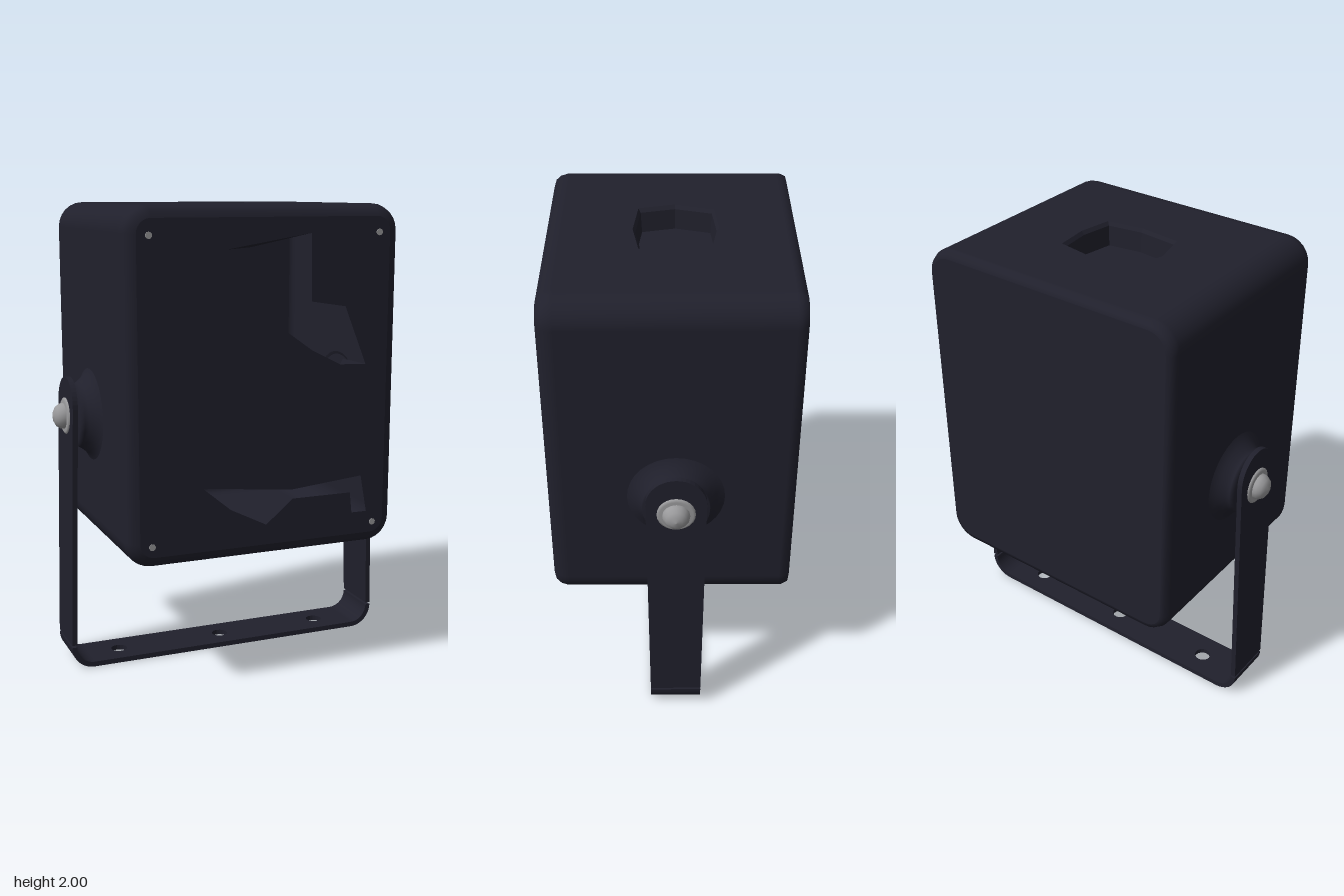
import * as THREE from 'three';

const paint = new THREE.MeshStandardMaterial({ color: 0x20202c, side: THREE.DoubleSide });
paint.name = 'dark paint';
const steel = new THREE.MeshStandardMaterial({ color: 0x9a9a9c });
steel.name = 'bare steel';

const W = 0.6, BOTTOM = 0.555, TOP = 2.0, RADIUS = 0.11, N = 6;
const MID = (BOTTOM + TOP) / 2, H = (TOP - BOTTOM) / 2;

const v2 = (list) => list.map(([x, y]) => new THREE.Vector2(x, y));

function add(parent, name, geometry, material = paint) {
  const mesh = new THREE.Mesh(geometry, material);
  mesh.name = name;
  parent.add(mesh);
  return mesh;
}

// Rounded rectangle outline, counterclockwise, shrunk by inset
function outline(inset) {
  const r = RADIUS - inset, points = [];
  for (let c = 0; c < 4; c++) {
    const sx = c === 0 || c === 3 ? 1 : -1, sy = c < 2 ? 1 : -1;
    for (let i = 0; i <= N; i++) {
      const a = (c + i / N) * Math.PI / 2;
      points.push(new THREE.Vector2(
        sx * (W - RADIUS) + r * Math.cos(a),
        MID + sy * (H - RADIUS) + r * Math.sin(a)));
    }
  }
  return points;
}

// Skin closed rings of points; skip(ring, segment) leaves a gap
function loft(rings, skip = () => false) {
  const n = rings[0].length, index = [];
  for (let k = 0; k < rings.length - 1; k++) {
    for (let i = 0; i < n; i++) {
      if (skip(k, i)) continue;
      const a = k * n + i, b = k * n + (i + 1) % n;
      index.push(a, b, a + n, b, b + n, a + n);
    }
  }
  const g = new THREE.BufferGeometry().setFromPoints(rings.flat());
  g.setIndex(index);
  g.computeVertexNormals();
  return g;
}

function flat(geometry) {
  const g = geometry.toNonIndexed();
  g.computeVertexNormals();
  return g;
}

function buildCabinet(group) {
  // Hollow shell with softened front and back edges
  const stations = [
    [0.03, -0.505], [0.012, -0.5], [0, -0.475], [0, -0.46], [0, -0.25], [0, 0.22],
    [0, 0.43], [0, 0.445], [0.008, 0.472], [0.025, 0.492], [0.05, 0.5]];
  const rings = stations.map(([inset, z]) => outline(inset).map((p) => new THREE.Vector3(p.x, p.y, z)));
  add(group, 'cabinetShell', loft(rings, (k, i) => k === 4 && i === N));

  const back = new THREE.ShapeGeometry(new THREE.Shape(outline(0.03)));
  back.rotateY(Math.PI);
  add(group, 'backPanel', back.translate(0, 0, -0.505));

  // Torn front panel
  const front = new THREE.Shape(outline(0.05));
  const tears = [
    [[-0.18, 1.825], [0.19, 1.885], [0.195, 1.61], [0.35, 1.585], [0.45, 1.34],
      [0.33, 1.345], [0.2, 1.41], [0.03, 1.53], [-0.08, 1.65]],
    [[-0.28, 0.87], [0.12, 0.83], [0.44, 0.86], [0.47, 0.7], [0.4, 0.7],
      [0.39, 0.79], [0.12, 0.79], [0, 0.69], [-0.16, 0.77]],
    [[-0.53, 1.5], [-0.49, 1.4], [-0.495, 1.16], [-0.53, 1.17]]];
  for (const tear of tears) front.holes.push(new THREE.Path(v2(tear)));
  add(group, 'frontPanel', new THREE.ShapeGeometry(front).translate(0, 0, 0.5));

  // Bent shards along the main tear
  const shards = [
    [[-0.1, 1.68, 0.5], [0, 1.5, 0.47], [-0.02, 1.555, 0.5]],
    [[0.33, 1.345, 0.5], [0.45, 1.34, 0.5], [0.37, 1.36, 0.45]],
    [[-0.18, 1.825, 0.5], [0.19, 1.885, 0.5], [-0.05, 1.83, 0.44]]];
  for (const shard of shards) {
    const g = new THREE.BufferGeometry().setFromPoints(shard.map((p) => new THREE.Vector3(...p)));
    g.computeVertexNormals();
    add(group, 'bentShard', g);
  }

  // Corner screws
  for (const x of [-0.5, 0.5]) {
    for (const y of [0.65, 1.885]) {
      const screw = add(group, 'cornerScrew', new THREE.CylinderGeometry(0.014, 0.014, 0.008, 10), steel);
      screw.rotation.x = Math.PI / 2;
      screw.position.set(x, y, 0.5);
    }
  }
}

function buildTopRecess(group) {
  const rim = [[-0.21, -0.02], [-0.165, -0.18], [0, -0.195], [0.18, -0.165],
    [0.195, -0.02], [0.17, 0.125], [0.01, 0.15], [-0.175, 0.13]];
  const scaled = (s) => rim.map(([x, z]) => [x * s, (z + 0.02) * s - 0.02]);
  const ring = (s, y) => scaled(s).map(([x, z]) => new THREE.Vector3(x, y, z));
  const plan = (s) => v2(scaled(s).map(([x, z]) => [x, -z]));

  // Top skin around the opening
  const e = W - RADIUS;
  const skin = new THREE.Shape(v2([[-e, -0.22], [e, -0.22], [e, 0.25], [-e, 0.25]]));
  skin.holes.push(new THREE.Path(plan(1)));
  add(group, 'topSkin', new THREE.ShapeGeometry(skin).rotateX(-Math.PI / 2).translate(0, TOP, 0));

  add(group, 'recessWall', flat(loft([ring(0.91, TOP - 0.1), ring(0.94, TOP - 0.015), ring(1, TOP)])));
  add(group, 'recessFloor',
    new THREE.ShapeGeometry(new THREE.Shape(plan(0.91))).rotateX(-Math.PI / 2).translate(0, TOP - 0.1, 0));
}

// Pivot boss, bracket arm and bolt, built for the +x side
function buildPivot(name) {
  const side = new THREE.Group();
  side.name = name;
  const turned = (part, profile, material, segments) => {
    const g = new THREE.LatheGeometry(v2(profile), segments).rotateZ(-Math.PI / 2);
    add(side, part, g, material).position.set(0, 1.11, 0);
  };
  turned('pivotBoss', [[0.21, 0.595], [0.19, 0.603], [0.165, 0.62], [0.145, 0.645],
    [0.137, 0.66], [0.135, 0.682], [0, 0.682]], paint, 32);
  turned('washer', [[0.078, 0.7], [0.078, 0.712], [0.068, 0.718], [0, 0.718]], steel, 24);
  turned('boltHead', [[0.056, 0.716], [0.054, 0.732], [0.042, 0.75], [0.024, 0.76], [0, 0.765]], steel, 16);

  // Leaning arm with a rounded top
  const shape = new THREE.Shape();
  shape.moveTo(-0.11, 0.11);
  shape.lineTo(0.11, 0.11);
  shape.lineTo(0.122, 1.15);
  shape.absarc(0, 1.155, 0.122, 0, Math.PI, false);
  shape.lineTo(-0.11, 0.11);
  const arm = new THREE.ExtrudeGeometry(shape, { depth: 0.022, bevelEnabled: false, curveSegments: 10 });
  arm.rotateY(Math.PI / 2);
  const p = arm.attributes.position;
  for (let i = 0; i < p.count; i++) {
    p.setX(i, p.getX(i) + 0.713 - 0.03 * (p.getY(i) - 0.11) / 1.17);
  }
  arm.computeVertexNormals();
  add(side, 'bracketArm', arm);

  // Rounded lower bend
  const bend = new THREE.Shape();
  bend.absarc(0.635, 0.11, 0.1, -Math.PI / 2, 0, false);
  bend.absarc(0.635, 0.11, 0.078, 0, -Math.PI / 2, true);
  add(side, 'bracketBend',
    new THREE.ExtrudeGeometry(bend, { depth: 0.22, bevelEnabled: false, curveSegments: 8 })
      .translate(0, -0.01, -0.11));
  return side;
}

function buildBracket(group) {
  const bracket = new THREE.Group();
  bracket.name = 'bracket';
  bracket.position.z = -0.02;
  const right = buildPivot('rightPivot');
  right.rotation.y = Math.PI;
  bracket.add(buildPivot('leftPivot'), right);

  // Base strap with three mounting holes
  const base = new THREE.Shape(v2([[-0.636, -0.11], [0.636, -0.11], [0.636, 0.11], [-0.636, 0.11]]));
  for (const x of [-0.49, 0, 0.49]) {
    base.holes.push(new THREE.Path().absarc(x, 0, 0.036, 0, Math.PI * 2, true));
  }
  add(bracket, 'bracketBase',
    new THREE.ExtrudeGeometry(base, { depth: 0.022, bevelEnabled: false, curveSegments: 8 })
      .rotateX(-Math.PI / 2));
  group.add(bracket);
}

export function createModel() {
  const group = new THREE.Group();
  group.name = 'bracketMountedCabinet';
  buildCabinet(group);
  buildTopRecess(group);
  buildBracket(group);
  return group;
}
